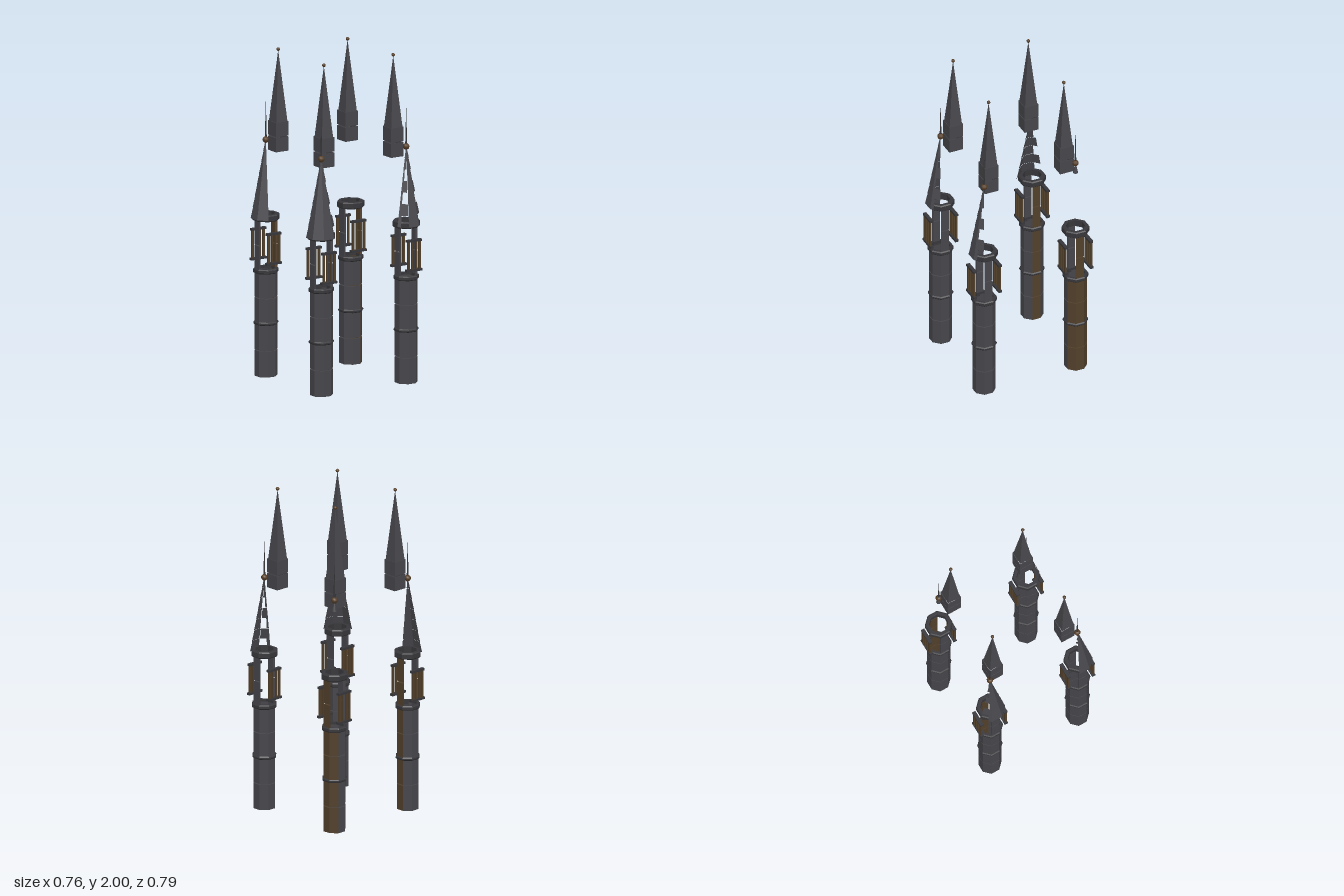
import * as THREE from 'three';

const mat = (name, color, side = THREE.FrontSide) => {
  const m = new THREE.MeshStandardMaterial({ color, side });
  m.name = name;
  return m;
};

export function createModel() {
  const stone = mat('dark stone', 0x46464b);
  const trim = mat('trim stone', 0x37373b);
  const slate = mat('slate', 0x47474c, THREE.DoubleSide);
  const rust = mat('rust', 0x523f2a);
  const bronze = mat('bronze', 0x573f28);

  const add = (parent, name, geo, material, x = 0, y = 0, z = 0) => {
    const m = new THREE.Mesh(geo, material);
    m.name = name;
    m.position.set(x, y, z);
    parent.add(m);
    return m;
  };
  const box = (p, name, m, w, h, d, x, y, z) => add(p, name, new THREE.BoxGeometry(w, h, d), m, x, y, z);
  const ball = (r) => new THREE.SphereGeometry(r, 8, 6);

  // Octagon corner; face k is centred on angle k * 45 degrees, k = 0 is +x, k = 2 is +z
  const corner = (k, apothem) => {
    const a = (k - 0.5) * Math.PI / 4, r = apothem / Math.cos(Math.PI / 8);
    return [r * Math.cos(a), r * Math.sin(a)];
  };

  // One thick wall panel of an octagonal ring
  const panel = (p, name, m, k, y0, y1, rOut, rIn) => {
    const pts = [corner(k, rOut), corner(k + 1, rOut), corner(k + 1, rIn), corner(k, rIn)];
    const shape = new THREE.Shape(pts.map(([x, z]) => new THREE.Vector2(x, -z)));
    const geo = new THREE.ExtrudeGeometry(shape, { depth: y1 - y0, bevelEnabled: false }).rotateX(-Math.PI / 2);
    return add(p, name, geo, m, 0, y0, 0);
  };

  // Bevelled octagonal collar turned from a closed profile
  const collar = (p, name, y0, y1, rOut, rIn) => {
    const c = 1 / Math.cos(Math.PI / 8), b = 0.006;
    const profile = [[rIn, y0], [rOut - b, y0], [rOut, y0 + b], [rOut, y1 - b], [rOut - b, y1], [rIn, y1], [rIn, y0]];
    const geo = new THREE.LatheGeometry(profile.map(([r, y]) => new THREE.Vector2(r * c, y)), 8, Math.PI / 8).toNonIndexed();
    geo.computeVertexNormals();
    add(p, name, geo, trim);
  };

  // Roof face in slate courses; reach(row) gives the part of the width that survives
  const ROWS = 7, BASE = 0.96, APEX = 1.435, ROOF = 0.082;
  const roofFace = (p, k, reach) => {
    const pos = [];
    for (let i = 0; i < ROWS; i++) {
      const [f0, f1] = reach(i);
      if (f1 - f0 < 0.01) continue;
      const point = (f, t, lap) => {
        const r = ROOF * (1 - t) + 0.001 + lap;
        const a = corner(k, r), b = corner(k + 1, r);
        return [a[0] + (b[0] - a[0]) * f, BASE + (APEX - BASE) * t, a[1] + (b[1] - a[1]) * f];
      };
      const A = point(f0, i / ROWS, 0.002), B = point(f1, i / ROWS, 0.002);
      const C = point(f1, (i + 1) / ROWS, 0), D = point(f0, (i + 1) / ROWS, 0);
      pos.push(...A, ...C, ...B, ...A, ...D, ...C);
    }
    const geo = new THREE.BufferGeometry();
    geo.setAttribute('position', new THREE.Float32BufferAttribute(pos, 3));
    geo.computeVertexNormals();
    add(p, 'roofFace', geo, slate);
  };
  const broken = [0.3, 0.95, 0.25, 0.9, 0.35, 0.85, 1];
  const reaches = {
    whole: () => [0, 1],
    startTorn: (i) => [1 - broken[i], 1],
    endTorn: (i) => [0, broken[i]],
    tip: (i) => (i === ROWS - 1 ? [0, 1] : [0, 0]),
  };

  const makeTower = (name, roof, rusty) => {
    const t = new THREE.Group();
    t.name = name;

    // Hollow shaft in stacked courses
    for (const [y0, y1] of [[0, 0.157], [0.163, 0.32], [0.32, 0.477], [0.483, 0.64]])
      for (let k = 0; k < 8; k++)
        panel(t, 'shaftWall', rusty.includes(k) && y0 < 0.5 ? rust : stone, k, y0, y1, 0.064, 0.053);
    collar(t, 'middleCollar', 0.314, 0.334, 0.07, 0.053);
    collar(t, 'shaftCollar', 0.628, 0.656, 0.072, 0.053);

    // Open belfry with a pillar on each side
    for (const k of [0, 4])
      for (const [y0, y1] of [[0.655, 0.797], [0.803, 0.95]])
        panel(t, 'belfryPillar', rusty.includes(k) ? rust : stone, k, y0, y1, 0.064, 0.051);
    collar(t, 'belfryRim', 0.948, 0.988, 0.077, 0.053);

    // Standing window frames front and back
    for (const s of [-1, 1]) {
      const f = new THREE.Group();
      f.name = 'windowFrame';
      f.position.z = s * 0.082;
      t.add(f);
      box(f, 'topRail', trim, 0.1, 0.014, 0.022, 0, 0.877, 0);
      box(f, 'bottomRail', trim, 0.108, 0.014, 0.022, 0, 0.697, 0);
      for (const x of [-0.038, -0.014, 0.014, 0.038])
        box(f, 'bar', rust, Math.abs(x) > 0.03 ? 0.013 : 0.007, 0.168, 0.012, x, 0.787, s * 0.003);
    }

    // Ruined roof and finial
    for (const [k, kind] of roof) roofFace(t, k, reaches[kind]);
    add(t, 'finialBall', ball(0.02), bronze, 0, 1.435, 0);
    add(t, 'finialSpike', new THREE.ConeGeometry(0.006, 0.24, 6), trim, 0, 1.565, 0);
    return t;
  };

  const makeSpire = () => {
    const s = new THREE.Group();
    s.name = 'spire';
    // Thin hollow square base in two tiers
    for (const y of [1.417, 1.51])
      for (let i = 0; i < 4; i++) {
        const side = new THREE.Group();
        side.name = 'spireBaseSide';
        side.rotation.y = i * Math.PI / 2;
        s.add(side);
        box(side, 'spireWall', stone, 0.088, 0.086, 0.003, 0, y, 0.0435);
      }
    const pyramid = new THREE.ConeGeometry(0.04 * Math.SQRT2, 0.435, 4, 1, true, Math.PI / 4).toNonIndexed();
    pyramid.computeVertexNormals();
    add(s, 'spireRoof', pyramid, slate, 0, 1.7675, 0);
    add(s, 'spireBall', ball(0.011), bronze, 0, 1.989, 0);
    return s;
  };

  const model = new THREE.Group();
  model.name = 'ruinedTowers';
  const towers = [
    ['frontRightTower', -1, 1, [[4, 'whole'], [3, 'whole'], [2, 'whole'], [1, 'startTorn']], []],
    ['frontLeftTower', 1, 1, [[3, 'startTorn'], [2, 'whole'], [1, 'startTorn']], []],
    ['backRightTower', -1, -1, [[3, 'whole'], [4, 'whole'], [5, 'endTorn']], [0]],
    ['backLeftTower', 1, -1, [0, 1, 2, 3, 4, 5, 6, 7].map((k) => [k, 'tip']), [7, 0, 1]],
  ];
  for (const [name, sx, sz, roof, rusty] of towers) {
    const t = makeTower(name, roof, rusty);
    t.position.set(sx * 0.301 + 0.003, 0, sz * 0.3);
    const s = makeSpire();
    s.position.set(sx * 0.246 + 0.003, 0, sz * 0.247 - 0.003);
    model.add(t, s);
  }
  return model;
}
